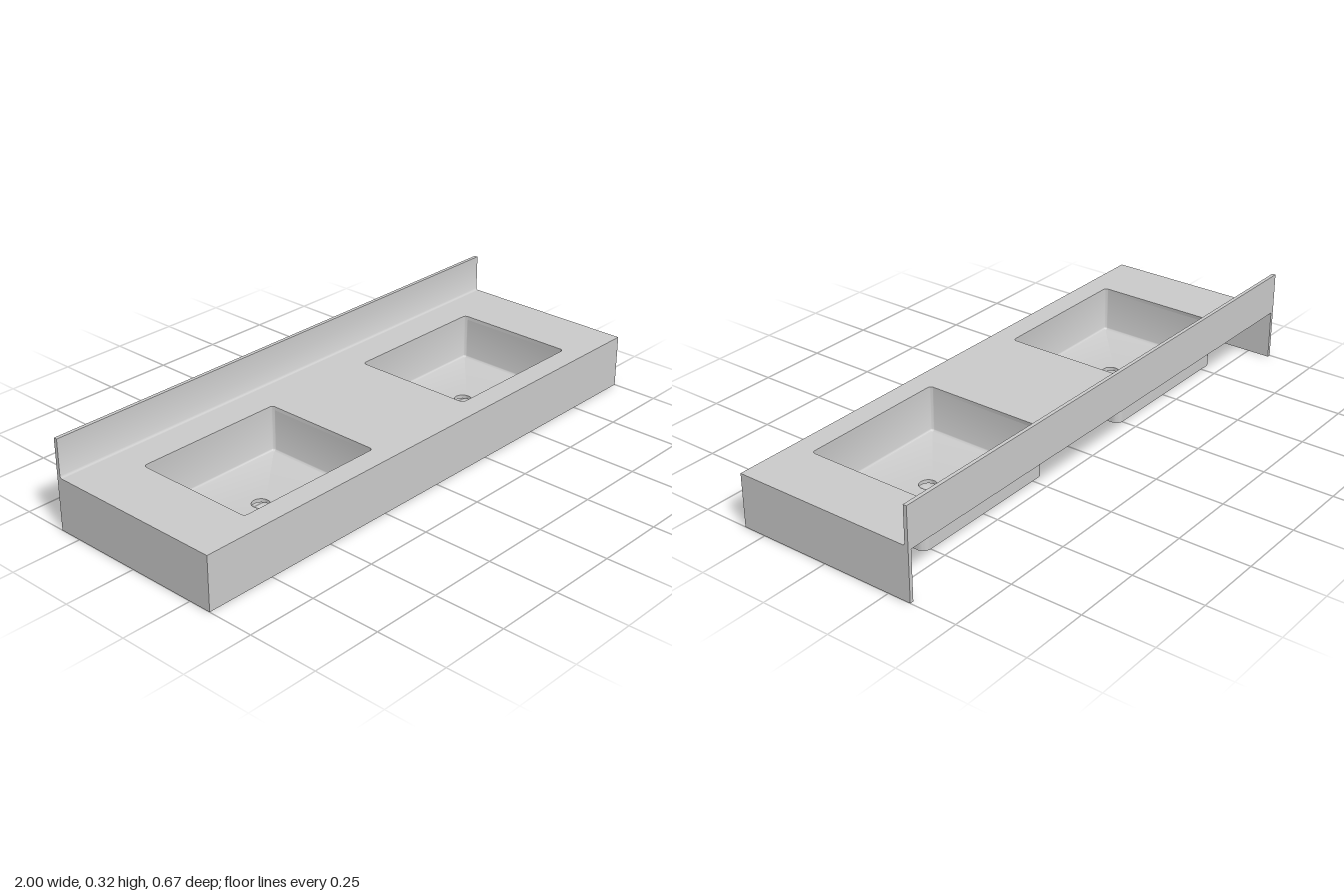
import * as THREE from 'three';
import { toCreasedNormals } from 'three/addons/utils/BufferGeometryUtils.js';

const W = 1, D = 0.333;          // half width and half depth
const T = 0.013;                 // sheet thickness
const TOP = 0.189, UNDER = TOP - T, HIGH = 0.323;
const BACK = -D + T;             // front face of the backsplash
const BX = 0.278, BZ = 0.223;    // half size of a basin opening
const CX = 0.5, CZ = 0.03;       // basin centre
const R = 0.013, SEG = 8;        // inner corner radius

const material = new THREE.MeshStandardMaterial({ color: 0xcccccc });

function mesh(name, geometry) {
  const m = new THREE.Mesh(toCreasedNormals(geometry, 0.6), material);
  m.name = name;
  return m;
}

// Points of a rounded rectangle, counter-clockwise
function roundedRect(hx, hy, r, cx = 0, cy = 0) {
  const pts = [];
  [[1, 1], [-1, 1], [-1, -1], [1, -1]].forEach(([sx, sy], k) => {
    for (let i = 0; i <= SEG; i++) {
      const a = (k + i / SEG) * Math.PI / 2;
      pts.push(new THREE.Vector2(
        cx + sx * (hx - r) + r * Math.cos(a),
        cy + sy * (hy - r) + r * Math.sin(a)));
    }
  });
  return pts;
}

// Extrude a plan outline (x, -z) upwards from y0 to y1
function slab(shape, y0, y1) {
  return new THREE.ExtrudeGeometry(shape, { depth: y1 - y0, bevelEnabled: false })
    .rotateX(-Math.PI / 2).translate(0, y0, 0);
}

function polygon(points) {
  return new THREE.Shape(points.map(([x, y]) => new THREE.Vector2(x, y)));
}

// One closed skin through rounded rectangles: outside, underside, drain, floor, inside
function basinGeometry() {
  const bottom = 0.011, floor = bottom + T, f = 0.012;
  const sections = [
    [BX + T, BZ + T, R + T, UNDER],
    [BX + T, BZ + T, R + T, bottom],
    [0.03, 0.03, 0.0295, bottom],
    [0.03, 0.03, 0.0295, floor],
  ];
  for (let i = 0; i <= 5; i++) {  // fillet between floor and wall
    const a = i / 5 * Math.PI / 2, inset = f * (1 - Math.sin(a));
    sections.push([BX - inset, BZ - inset, R - inset, floor + f * (1 - Math.cos(a))]);
  }
  sections.push([BX, BZ, R, UNDER]);

  const position = [], index = [], n = 4 * (SEG + 1);
  for (const [hx, hz, r, y] of sections) {
    for (const p of roundedRect(hx, hz, r)) position.push(p.x, y, -p.y);
  }
  for (let s = 0; s < sections.length - 1; s++) {
    for (let i = 0; i < n; i++) {
      const a = s * n + i, b = s * n + (i + 1) % n;
      index.push(a, a + n, b, b, a + n, b + n);
    }
  }
  const g = new THREE.BufferGeometry();
  g.setAttribute('position', new THREE.Float32BufferAttribute(position, 3));
  g.setIndex(index);
  return g;
}

export function createModel() {
  const model = new THREE.Group();
  model.name = 'doubleVanityTop';

  // Countertop with two openings
  const top = polygon([[-W, -D], [W, -D], [W, -BACK], [-W, -BACK]]);
  for (const s of [-1, 1]) {
    top.holes.push(new THREE.Path(roundedRect(BX, BZ, R, s * CX, -CZ)));
  }
  model.add(mesh('countertop', slab(top, UNDER, TOP)));

  // Front and side panels, open at the back and below
  const apron = polygon([
    [-W, -D], [W, -D], [W, D], [W - T, D],
    [W - T, -D + T], [-W + T, -D + T], [-W + T, D], [-W, D],
  ]);
  model.add(mesh('apron', slab(apron, 0, UNDER)));

  // Backsplash with a small cove where it meets the countertop
  const cove = 0.008, splash = new THREE.Shape();
  splash.moveTo(D, UNDER);
  splash.lineTo(D, HIGH);
  splash.lineTo(-BACK, HIGH);
  splash.lineTo(-BACK, TOP + cove);
  splash.absarc(-BACK - cove, TOP + cove, cove, 0, -Math.PI / 2, true);
  splash.lineTo(-BACK, TOP);
  splash.lineTo(-BACK, UNDER);
  const splashGeometry = new THREE.ExtrudeGeometry(splash,
    { depth: 2 * W, bevelEnabled: false, curveSegments: 6 })
    .rotateY(Math.PI / 2).translate(-W, 0, 0);
  model.add(mesh('backsplash', splashGeometry));

  // Two basins with drain holes
  for (const s of [-1, 1]) {
    const basin = mesh(s > 0 ? 'leftBasin' : 'rightBasin', basinGeometry());
    basin.position.set(s * CX, 0, CZ);
    model.add(basin);
  }
  return model;
}
